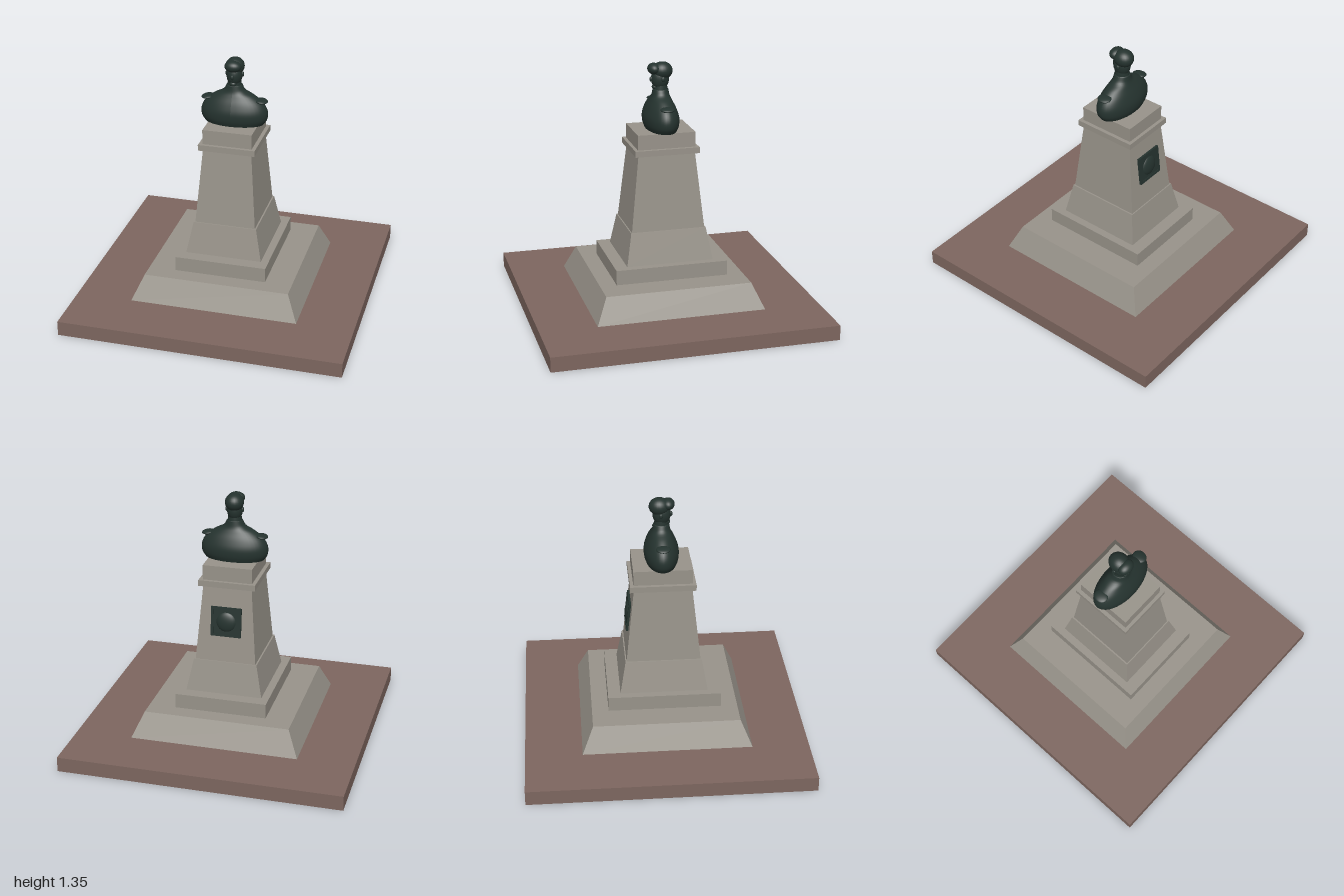
import * as THREE from 'three';

const paving = new THREE.MeshStandardMaterial({ color: 0x7d665f });
const stone = new THREE.MeshStandardMaterial({ color: 0x98938a });
const bronze = new THREE.MeshStandardMaterial({ color: 0x25332f });

function add(parent, name, geometry, material, x = 0, y = 0, z = 0) {
  const mesh = new THREE.Mesh(geometry, material);
  mesh.name = name;
  mesh.position.set(x, y, z);
  parent.add(mesh);
  return mesh;
}

// Rectangular block whose top may be smaller than its bottom (half sizes)
function block(y0, y1, ax, az, bx = ax, bz = az) {
  const g = new THREE.BoxGeometry(2, y1 - y0, 2);
  const p = g.attributes.position;
  for (let i = 0; i < p.count; i++) {
    const top = p.getY(i) > 0;
    p.setX(i, p.getX(i) * (top ? bx : ax));
    p.setZ(i, p.getZ(i) * (top ? bz : az));
  }
  g.translate(0, (y0 + y1) / 2, 0);
  g.computeVertexNormals();
  return g;
}

// Smooth body of elliptical rings; each level is [half width, y, half depth]
function ellipticalLoft(levels, rows = 24) {
  const curve = new THREE.CatmullRomCurve3(levels.map((l) => new THREE.Vector3(...l)));
  const g = new THREE.CylinderGeometry(1, 1, 1, 40, rows);
  const p = g.attributes.position;
  for (let i = 0; i < p.count; i++) {
    const ring = curve.getPoint(THREE.MathUtils.clamp(p.getY(i) + 0.5, 0, 1));
    p.setXYZ(i, p.getX(i) * ring.x, ring.y, p.getZ(i) * ring.z);
  }
  g.computeVertexNormals();
  return g;
}

function ellipsoid(rx, ry, rz) {
  return new THREE.SphereGeometry(1, 24, 16).scale(rx, ry, rz);
}

function createPedestal() {
  const g = new THREE.Group();
  g.name = 'pedestal';
  add(g, 'slopedPlinth', block(0.08, 0.215, 0.453, 0.453, 0.393, 0.393), stone);
  add(g, 'step', block(0.215, 0.295, 0.248, 0.304), stone);
  add(g, 'lowerShaft', block(0.295, 0.468, 0.207, 0.236, 0.172, 0.205), stone);
  add(g, 'shaft', block(0.468, 0.878, 0.164, 0.199, 0.131, 0.154), stone);
  add(g, 'cornice', block(0.878, 0.91, 0.153, 0.174), stone);
  add(g, 'capBlock', block(0.91, 0.99, 0.133, 0.156), stone);
  return g;
}

// Framed relief panel leaning with the back of the shaft
function createPlaque() {
  const g = new THREE.Group();
  g.name = 'plaque';
  add(g, 'panel', new THREE.BoxGeometry(0.15, 0.15, 0.012), bronze);
  for (const s of [-1, 1]) {
    add(g, 'frameSide', new THREE.BoxGeometry(0.014, 0.16, 0.02), bronze, s * 0.075);
    add(g, 'frameRail', new THREE.BoxGeometry(0.164, 0.014, 0.02), bronze, 0, s * 0.073);
  }
  add(g, 'relief', ellipsoid(0.055, 0.055, 0.02), bronze);
  g.position.set(0, 0.69, -0.177);
  g.rotation.x = Math.atan(0.045 / 0.41);
  return g;
}

function createBust() {
  const g = new THREE.Group();
  g.name = 'bust';
  add(g, 'torso', ellipticalLoft([
    [0.158, 0.99, 0.08], [0.177, 1.02, 0.09], [0.179, 1.06, 0.091],
    [0.157, 1.105, 0.077], [0.108, 1.145, 0.058], [0.058, 1.172, 0.047], [0.042, 1.2, 0.042],
  ]), bronze);
  add(g, 'neck', new THREE.CylinderGeometry(0.034, 0.04, 0.06, 24), bronze, 0, 1.205, 0);
  const collar = add(g, 'collar', new THREE.TorusGeometry(0.036, 0.007, 8, 28), bronze, 0, 1.196, 0);
  collar.rotation.x = Math.PI / 2;

  // Head with a swept forelock
  add(g, 'face', ellipsoid(0.042, 0.062, 0.048), bronze, 0, 1.258, 0.002);
  add(g, 'hair', ellipsoid(0.05, 0.047, 0.055), bronze, 0, 1.3, -0.01);
  add(g, 'forelock', ellipsoid(0.045, 0.03, 0.034), bronze, 0, 1.312, 0.036);
  add(g, 'nose', ellipsoid(0.008, 0.014, 0.01), bronze, 0, 1.256, 0.05);
  add(g, 'chin', ellipsoid(0.018, 0.014, 0.016), bronze, 0, 1.214, 0.031);

  // Epaulettes and ears on both sides
  for (const s of [-1, 1]) {
    const pad = add(g, 'epaulette', ellipsoid(0.034, 0.011, 0.038), bronze, s * 0.145, 1.121, 0);
    pad.rotation.z = -s * 0.12;
    add(g, 'ear', ellipsoid(0.007, 0.014, 0.01), bronze, s * 0.043, 1.26, -0.004);
  }
  return g;
}

export function createModel() {
  const model = new THREE.Group();
  model.name = 'bustMonument';
  const monument = new THREE.Group();
  monument.name = 'monument';
  monument.rotation.y = -0.418;
  add(monument, 'pavingSlab', block(0, 0.08, 0.757, 0.757), paving);
  monument.add(createPedestal(), createPlaque(), createBust());
  model.add(monument);
  return model;
}
